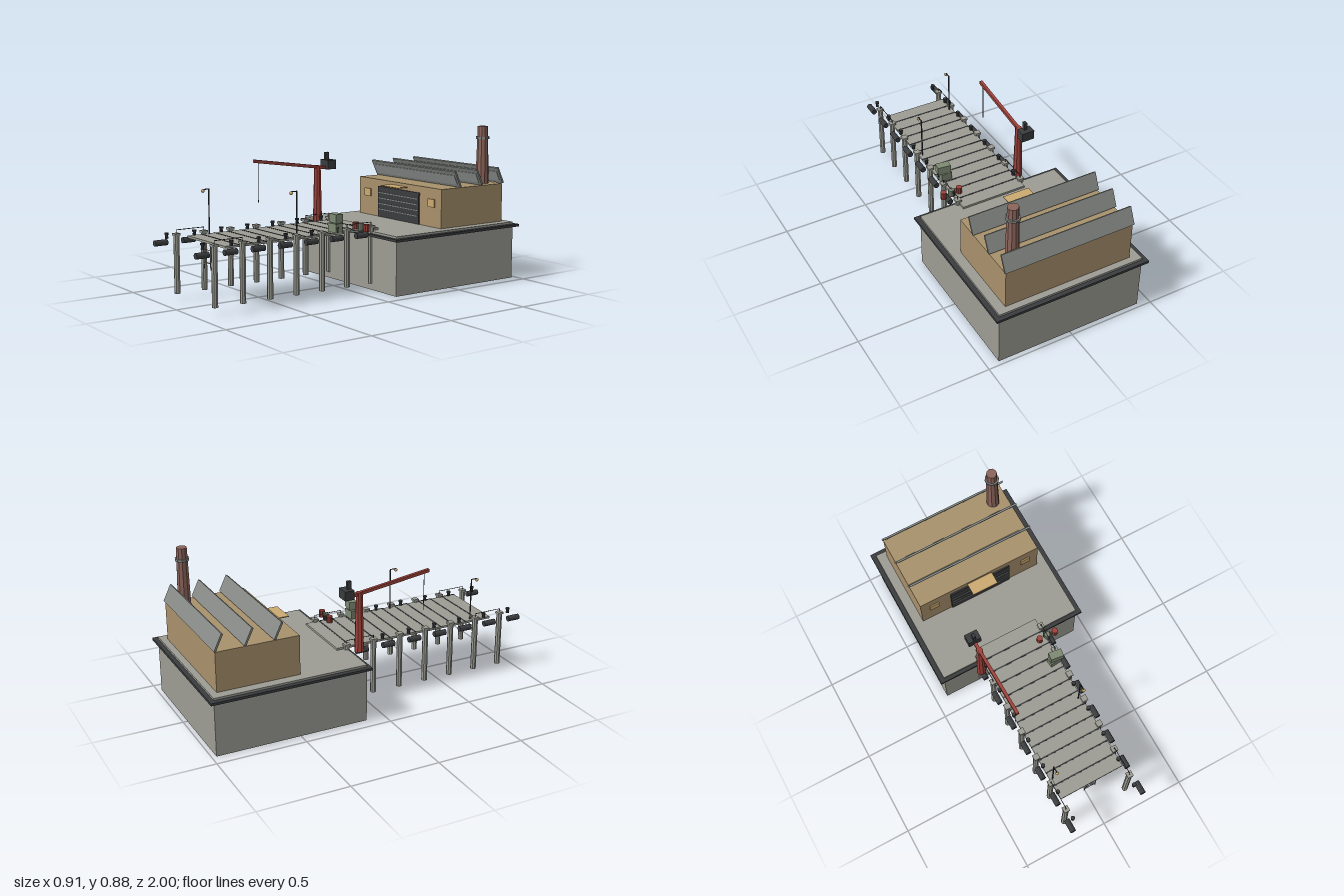
import * as THREE from 'three';

const mat = (name, color) => {
  const m = new THREE.MeshStandardMaterial({ color });
  m.name = name;
  return m;
};

export function createModel() {
  const concrete = mat('concrete', 0x9c9c94);
  const steel = mat('steel', 0x868a86);
  const glass = mat('skylight glass', 0x9a9f9c);
  const tan = mat('tan wall', 0xa8916c);
  const dark = mat('dark rubber', 0x3a3c3e);
  const red = mat('red paint', 0x9e423a);
  const yellow = mat('warm light', 0xcbaa70);
  const green = mat('green crate', 0x7e8a74);
  const brick = mat('chimney brick', 0x8c645b);

  const model = new THREE.Group();
  model.name = 'harbourPier';
  const group = (name) => {
    const g = new THREE.Group();
    g.name = name;
    model.add(g);
    return g;
  };
  const add = (parent, name, geo, m, x, y, z) => {
    const mesh = new THREE.Mesh(geo, m);
    mesh.name = name;
    mesh.position.set(x, y, z);
    parent.add(mesh);
    return mesh;
  };
  const box = (parent, name, m, w, h, d, x, y, z) =>
    add(parent, name, new THREE.BoxGeometry(w, h, d), m, x, y, z);
  // faceted upright cylinder from y0 to y1
  const cyl = (parent, name, m, rTop, rBottom, y0, y1, x, z, sides = 8) =>
    add(parent, name, new THREE.CylinderGeometry(rTop, rBottom, y1 - y0, sides).toNonIndexed(), m, x, (y0 + y1) / 2, z);
  // thin rod between two points
  const rod = (parent, name, m, r, a, b) => {
    const p = new THREE.Vector3(...a), q = new THREE.Vector3(...b);
    const d = q.clone().sub(p);
    const mesh = add(parent, name, new THREE.CylinderGeometry(r, r, d.length(), 6), m, 0, 0, 0);
    mesh.position.copy(p).add(q).multiplyScalar(0.5);
    mesh.quaternion.setFromUnitVectors(new THREE.Vector3(0, 1, 0), d.normalize());
    return mesh;
  };

  // Quay block with a dark rim
  const quay = group('quay');
  box(quay, 'quayBlock', concrete, 0.86, 0.33, 0.866, 0, 0.165, -0.542);
  box(quay, 'quayRim', dark, 0.914, 0.014, 0.912, 0, 0.311, -0.544);

  // Warehouse with roller door, canopy and windows
  const house = group('warehouse');
  box(house, 'walls', tan, 0.75, 0.222, 0.465, 0, 0.441, -0.705);
  box(house, 'door', dark, 0.376, 0.182, 0.008, 0, 0.422, -0.469);
  for (let i = 0; i < 4; i++) {
    box(house, 'doorSlat', steel, 0.366, 0.005, 0.004, 0, 0.377 + i * 0.033, -0.464);
  }
  box(house, 'canopy', yellow, 0.155, 0.005, 0.075, 0, 0.532, -0.436);
  for (const s of [-1, 1]) {
    box(house, 'window', yellow, 0.057, 0.046, 0.008, s * 0.292, 0.466, -0.47);
  }

  // Slanted roof lights
  for (const z of [-0.592, -0.755, -0.918]) {
    const light = group('roofLight');
    light.position.set(0, 0.601, z);
    light.rotation.x = 0.446;
    box(light, 'roofLightFrame', steel, 0.762, 0.1, 0.011, 0, 0, 0);
    box(light, 'roofLightGlass', glass, 0.73, 0.06, 0.004, 0, -0.004, 0.006);
  }

  // Chimney
  const chimney = group('chimney');
  cyl(chimney, 'stack', brick, 0.03, 0.038, 0.55, 0.883, 0.292, -0.855, 10);
  cyl(chimney, 'stackBand', steel, 0.04, 0.04, 0.81, 0.823, 0.292, -0.855, 10);

  // Plank deck with dark seams
  const deck = group('deck');
  box(deck, 'deckSlab', concrete, 0.39, 0.012, 0.99, 0, 0.337, 0.325);
  for (let i = 1; i < 12; i++) {
    box(deck, 'plankSeam', dark, 0.392, 0.004, 0.008, 0, 0.3425, -0.17 + i * 0.0825);
  }

  // Piles, fenders and bollards on both sides
  const edge = group('pierEdges');
  for (const s of [-1, 1]) {
    for (let i = 0; i < 7; i++) {
      const z = -0.113 + i * 0.1663;
      cyl(edge, 'pile', concrete, 0.0165, 0.0165, 0.035, 0.355, s * 0.2, z);
      box(edge, 'pileCap', concrete, 0.034, 0.012, 0.034, s * 0.2, 0.356, z);
      const fender = cyl(edge, 'fender', dark, 0.0165, 0.0165, 0, 0.074, s * 0.22, z + 0.083, 12);
      fender.position.y = 0.316;
      fender.rotation.x = Math.PI / 2;
      cyl(edge, 'bollard', dark, 0.008, 0.01, 0.341, 0.362, s * 0.192, z + 0.062);
      cyl(edge, 'bollardHead', dark, 0.012, 0.012, 0.362, 0.372, s * 0.192, z + 0.062);
    }
    for (const z of [-0.113, 0.7185]) {
      rod(edge, 'rail', dark, 0.002, [s * 0.2, 0.38, z], [s * 0.2, 0.38, z + 0.166]);
      for (const e of [0, 0.166]) {
        rod(edge, 'railPost', dark, 0.002, [s * 0.2, 0.355, z + e], [s * 0.2, 0.38, z + e]);
      }
    }
  }

  // Ladder at the pier head
  const ladder = group('ladder');
  for (const s of [-1, 1]) {
    rod(ladder, 'ladderRail', steel, 0.003, [s * 0.034, 0.19, 0.812], [s * 0.034, 0.335, 0.812]);
  }
  for (const y of [0.225, 0.26, 0.294]) {
    rod(ladder, 'ladderRung', steel, 0.0022, [-0.034, y, 0.812], [0.034, y, 0.812]);
  }

  // Lamps
  for (const [x, z] of [[-0.177, 0.697], [0.175, 0.365]]) {
    const lamp = group('lamp');
    rod(lamp, 'lampPole', dark, 0.004, [x, 0.34, z], [x, 0.588, z]);
    rod(lamp, 'lampArm', dark, 0.003, [x, 0.587, z], [x, 0.587, z + 0.036]);
    add(lamp, 'lampBulb', new THREE.SphereGeometry(0.01, 10, 8), yellow, x, 0.579, z + 0.036);
  }

  // Crane with tapered mast, boom, counterweight and cable
  const crane = group('crane');
  const cx = -0.222;
  cyl(crane, 'mast', red, 0.019, 0.027, 0.315, 0.66, cx, -0.047);
  const boom = box(crane, 'boom', red, 0.018, 0.018, 0.51, cx, 0.677, 0.13);
  boom.rotation.x = -0.14;
  box(crane, 'counterweight', dark, 0.075, 0.053, 0.055, cx, 0.664, -0.124);
  box(crane, 'winch', dark, 0.017, 0.045, 0.024, cx, 0.712, -0.112);
  rod(crane, 'cable', dark, 0.002, [cx, 0.705, 0.355], [cx, 0.48, 0.355]);

  // Cargo
  const cargo = group('cargo');
  const lower = box(cargo, 'lowerCrate', green, 0.068, 0.048, 0.046, 0.164, 0.367, 0.107);
  lower.rotation.y = 0.1;
  const upper = box(cargo, 'upperCrate', green, 0.076, 0.048, 0.046, 0.174, 0.42, 0.107);
  upper.rotation.y = -0.12;
  for (const [x, m] of [[0.153, red], [0.202, green], [0.251, red]]) {
    cyl(cargo, 'barrel', m, 0.0175, 0.0175, 0.34, 0.381, x, -0.042, 10);
  }

  // Faceted shading for piles, mast, stack and barrels
  model.traverse((o) => {
    if (o.isMesh && !o.geometry.index) o.geometry.computeVertexNormals();
  });
  return model;
}
